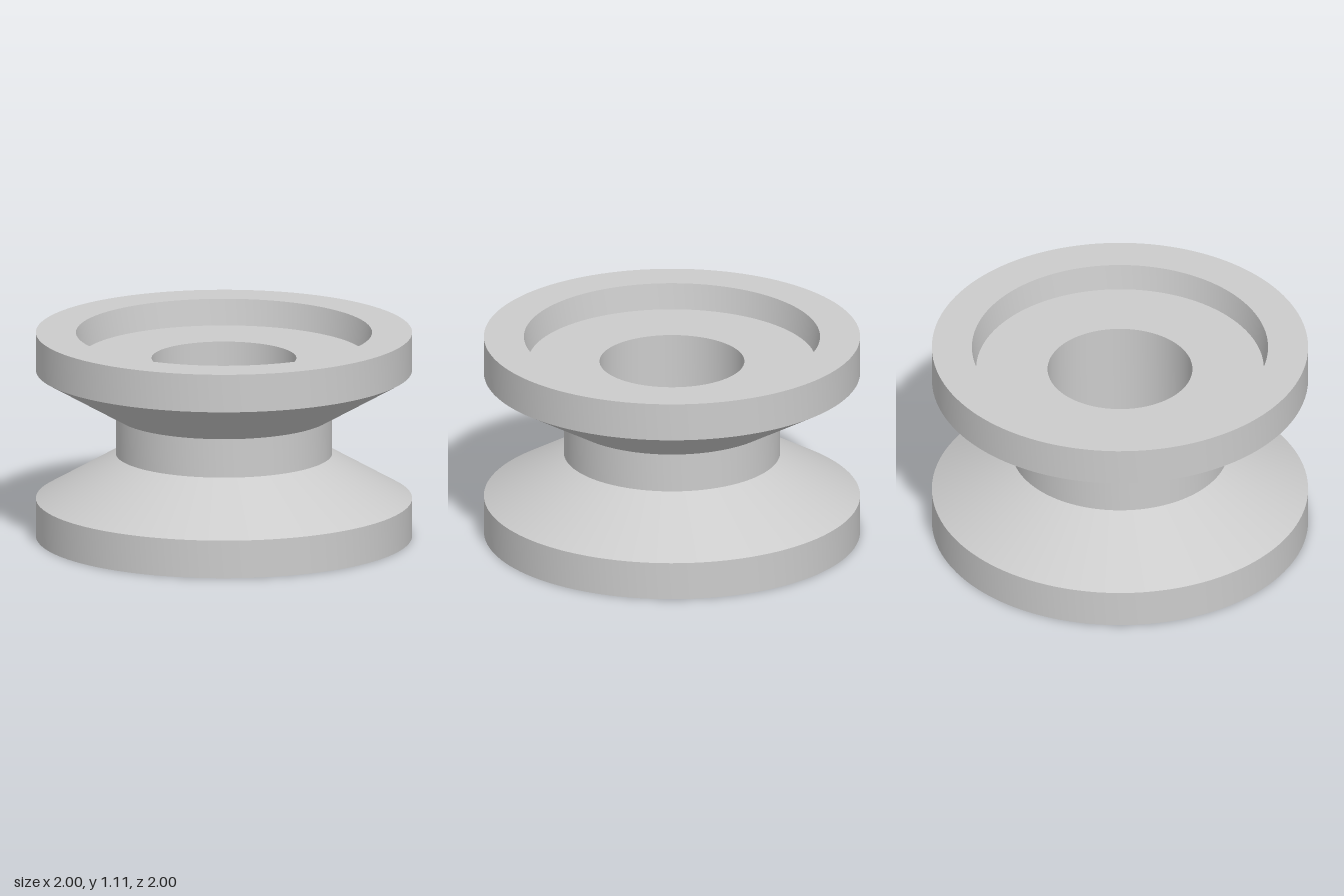
import * as THREE from 'three';
import { toCreasedNormals } from 'three/addons/utils/BufferGeometryUtils.js';

const HEIGHT = 1.11;

export function createModel() {
  const group = new THREE.Group();
  group.name = 'spool';

  // Lower half of the section, from the bore out to the hub: [radius, y]
  const lower = [
    [0.385, 0.14],  // bore edge
    [0.765, 0.14],  // recess floor
    [0.787, 0],     // slightly flared recess wall
    [1, 0],         // rim
    [1, 0.205],     // flange edge
    [0.575, 0.45],  // cone down to the hub
  ];
  // Mirror it for the upper half and close the loop along the bore
  const upper = lower.map(([r, y]) => [r, HEIGHT - y]).reverse();
  const profile = [...lower, ...upper, lower[0]].map(([r, y]) => new THREE.Vector2(r, y));

  const geometry = toCreasedNormals(new THREE.LatheGeometry(profile, 128), 0.5);
  const body = new THREE.Mesh(geometry, new THREE.MeshStandardMaterial({ color: 0xcccccc }));
  body.name = 'spoolBody';
  group.add(body);
  return group;
}
